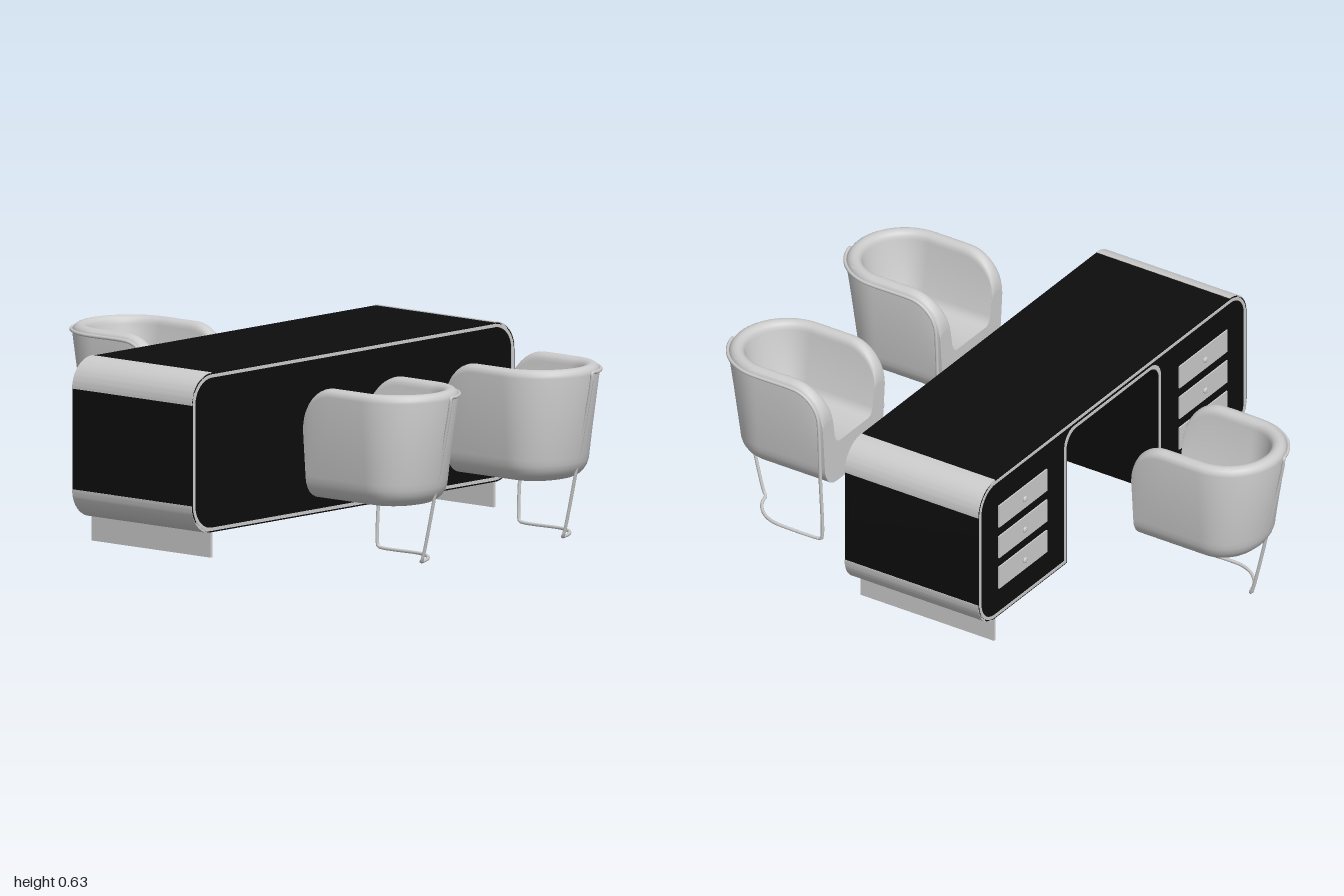
import * as THREE from 'three';
import { toCreasedNormals } from 'three/addons/utils/BufferGeometryUtils.js';

const grey = new THREE.MeshStandardMaterial({ color: 0xcccccc });
const greyThin = new THREE.MeshStandardMaterial({ color: 0xcccccc, side: THREE.DoubleSide });
const black = new THREE.MeshStandardMaterial({ color: 0x0d0d0d });

const W = 0.81, Y0 = 0.085, Y1 = 0.628, R = 0.1;   // desk outline
const ZB = -0.305, ZF = 0.235;                     // desk back and front
const KX = 0.275, KY = 0.585;                      // kneehole half width and top

function add(parent, name, geometry, material, x = 0, y = 0, z = 0) {
  const mesh = new THREE.Mesh(geometry, material);
  mesh.name = name;
  mesh.position.set(x, y, z);
  parent.add(mesh);
  return mesh;
}

const extrude = (shape, depth) => toCreasedNormals(
  new THREE.ExtrudeGeometry(shape, { depth, bevelEnabled: false, curveSegments: 12 }), 0.5);

// Rounded desk outline moved inwards by i, with or without the kneehole
function outline(i, kneehole, Type = THREE.Shape) {
  const w = W - i, b = Y0 + i, t = Y1 - i, r = R - i, k = KX + i, kt = KY + i, kr = 0.06;
  const s = new Type();
  s.moveTo(k, b);
  s.lineTo(w - r, b);
  s.absarc(w - r, b + r, r, -Math.PI / 2, 0);
  s.absarc(w - r, t - r, r, 0, Math.PI / 2);
  s.absarc(-w + r, t - r, r, Math.PI / 2, Math.PI);
  s.absarc(-w + r, b + r, r, Math.PI, Math.PI * 1.5);
  s.lineTo(-k, b);
  if (kneehole) {
    s.absarc(-k + kr, kt - kr, kr, Math.PI, Math.PI / 2, true);
    s.absarc(k - kr, kt - kr, kr, Math.PI / 2, 0, true);
  }
  s.closePath();
  return s;
}

function trim(kneehole) {
  const s = outline(0.005, kneehole);
  s.holes.push(outline(0.016, kneehole, THREE.Path));
  return extrude(s, 0.004);
}

function createDesk() {
  const desk = new THREE.Group();
  desk.name = 'desk';
  add(desk, 'pedestals', extrude(outline(0, true), ZF - 0.02 - ZB), black, 0, 0, ZB);
  add(desk, 'frontPanel', extrude(outline(0, false), 0.02), black, 0, 0, ZF - 0.02);
  add(desk, 'frontTrim', trim(false), grey, 0, 0, ZF - 0.002);
  add(desk, 'backTrim', trim(true), grey, 0, 0, ZB - 0.002);

  // Grey bands around the four rounded corners
  for (const sx of [-1, 1]) for (const sy of [-1, 1]) {
    const a = Math.atan2(sy, sx) - Math.PI / 4;
    const s = new THREE.Shape();
    s.absarc(0, 0, R + 0.002, a, a + Math.PI / 2);
    s.absarc(0, 0, R - 0.008, a + Math.PI / 2, a, true);
    s.closePath();
    add(desk, 'cornerBand', extrude(s, ZF - ZB), grey,
      sx * (W - R), sy > 0 ? Y1 - R : Y0 + R, ZB);
  }

  for (const sx of [-1, 1]) {
    add(desk, 'footPlate', new THREE.BoxGeometry(0.01, Y0 + 0.002, ZF - ZB), grey,
      sx * 0.71, Y0 / 2, (ZF + ZB) / 2);
    for (const y of [0.235, 0.355, 0.475]) {
      add(desk, 'drawer', new THREE.BoxGeometry(0.29, 0.085, 0.008), grey, sx * 0.545, y, ZB - 0.001);
      const stem = add(desk, 'knobStem', new THREE.CylinderGeometry(0.005, 0.005, 0.012, 12), grey,
        sx * 0.545, y, ZB - 0.008);
      stem.rotation.x = Math.PI / 2;
      const knob = add(desk, 'knob', new THREE.SphereGeometry(0.011, 16, 10), grey,
        sx * 0.545, y, ZB - 0.012);
      knob.scale.z = 0.5;
    }
  }
  return desk;
}

const Z0 = 0.52, ZC = 0.79, SEAT = 0.36;           // chair front, back arc centre, seat height

// Chair section for rim height h: [distance at the side, distance at the back, y]
function section(h) {
  const rows = [[0, 0, 0.21], [0.105, 0.08, 0.21]];
  const t = 0.0275;
  const outer = y => [0.175 + (y - 0.29) * 0.08, 0.147 + (y - 0.29) * 0.175, y];
  const inner = y => [0.11 + (y - SEAT) * 0.16, 0.08 + (y - SEAT) * 0.29, y];
  for (let i = 1; i <= 6; i++) {
    const a = (i / 6) * Math.PI / 2;
    rows.push([0.105 + 0.07 * Math.sin(a), 0.08 + 0.067 * Math.sin(a), 0.29 - 0.08 * Math.cos(a)]);
  }
  const o = outer(h - t), n = inner(h - t);
  for (let i = 0; i <= 8; i++) {
    const a = (i / 8) * Math.PI, f = (1 - Math.cos(a)) / 2;
    rows.push([o[0] + (n[0] - o[0]) * f, o[1] + (n[1] - o[1]) * f, h - t + t * Math.sin(a)]);
  }
  rows.push(inner(SEAT + 0.03), [0.103, 0.073, SEAT + 0.007], [0.09, 0.06, SEAT], [0, 0, SEAT]);
  return rows;
}

function createShell() {
  // Stations along one arm, round the back and along the other arm
  const arm = [];
  for (let i = 0; i <= 10; i++) {
    const a = (i / 10) * Math.PI / 2;
    arm.push({ z: 0.65 - 0.13 * Math.cos(a), h: 0.47 + 0.13 * Math.sin(a), a: 0 });
  }
  const stations = [...arm];
  for (let i = 0; i <= 32; i++) stations.push({ z: ZC, h: 0.6, a: (i / 32) * Math.PI });
  stations.push(...arm.slice().reverse().map(s => ({ ...s, a: Math.PI })));

  const pos = [], idx = [], n = section(0.6).length;
  stations.forEach(({ z, h, a }, u) => section(h).forEach(([ds, db, y], v) => {
    const d = ds + (db - ds) * Math.sin(a) ** 2;
    pos.push(Math.cos(a) * d, y, z + Math.sin(a) * d);
    if (u < stations.length - 1 && v < n - 1) {
      const p = u * n + v, q = p + n;
      idx.push(p, p + 1, q, q, p + 1, q + 1);
    }
  }));
  const g = new THREE.BufferGeometry();
  g.setAttribute('position', new THREE.Float32BufferAttribute(pos, 3));
  g.setIndex(idx);
  return toCreasedNormals(g, 0.7);
}

// Flat front face of the seat and both arms
function createFace() {
  const half = section(0.47).map(([d, , y]) => new THREE.Vector2(d, y));
  const mirrored = half.slice(1, -1).reverse().map(p => new THREE.Vector2(-p.x, p.y));
  return new THREE.ShapeGeometry(new THREE.Shape([...half, ...mirrored]));
}

// Bent tube: round the rim, down the arm front, along the floor and up the back
function createFrame() {
  const p = [], push = (x, y, z) => p.push(new THREE.Vector3(x, y, z));
  for (let i = 0; i <= 8; i++) {
    const a = (80 - i * 10) * Math.PI / 180;
    push(0.199 * Math.cos(a), 0.578, ZC + 0.201 * Math.sin(a));
  }
  for (let i = 0; i <= 6; i++) {
    const a = (i / 6) * Math.PI / 2;
    push(0.199 - 0.004 * i / 6, 0.468 + 0.11 * Math.cos(a), 0.643 - 0.11 * Math.sin(a));
  }
  push(0.183, 0.25, 0.533);
  push(0.171, 0.03, 0.533);
  push(0.17, 0.011, 0.538);
  push(0.17, 0.007, 0.556);
  for (let i = 0; i <= 7; i++) {
    const a = i * 11 * Math.PI / 180;
    push(0.17 * Math.cos(a), 0.007, 0.7 + 0.155 * Math.sin(a));
  }
  push(0.033, 0.012, 0.859);
  push(0.033, 0.03, 0.866);
  push(0.034, 0.3, 0.931);
  push(0.034, 0.56, 0.988);
  return new THREE.TubeGeometry(new THREE.CatmullRomCurve3(p, true), 200, 0.006, 8, true);
}

export function createModel() {
  const model = new THREE.Group();
  model.name = 'deskWithChairs';
  model.add(createDesk());

  const shell = createShell(), face = createFace(), frame = createFrame();
  for (const [name, x, turn] of [['guestChairRight', -0.38, 0], ['guestChairLeft', 0.33, 0],
    ['deskChair', 0.02, Math.PI]]) {
    const chair = new THREE.Group();
    chair.name = name;
    add(chair, 'chairShell', shell, greyThin);
    add(chair, 'chairFrontFace', face, grey, 0, 0, Z0).rotation.y = Math.PI;
    add(chair, 'tubeFrame', frame, grey);
    chair.position.x = x;
    chair.rotation.y = turn;
    model.add(chair);
  }
  return model;
}
